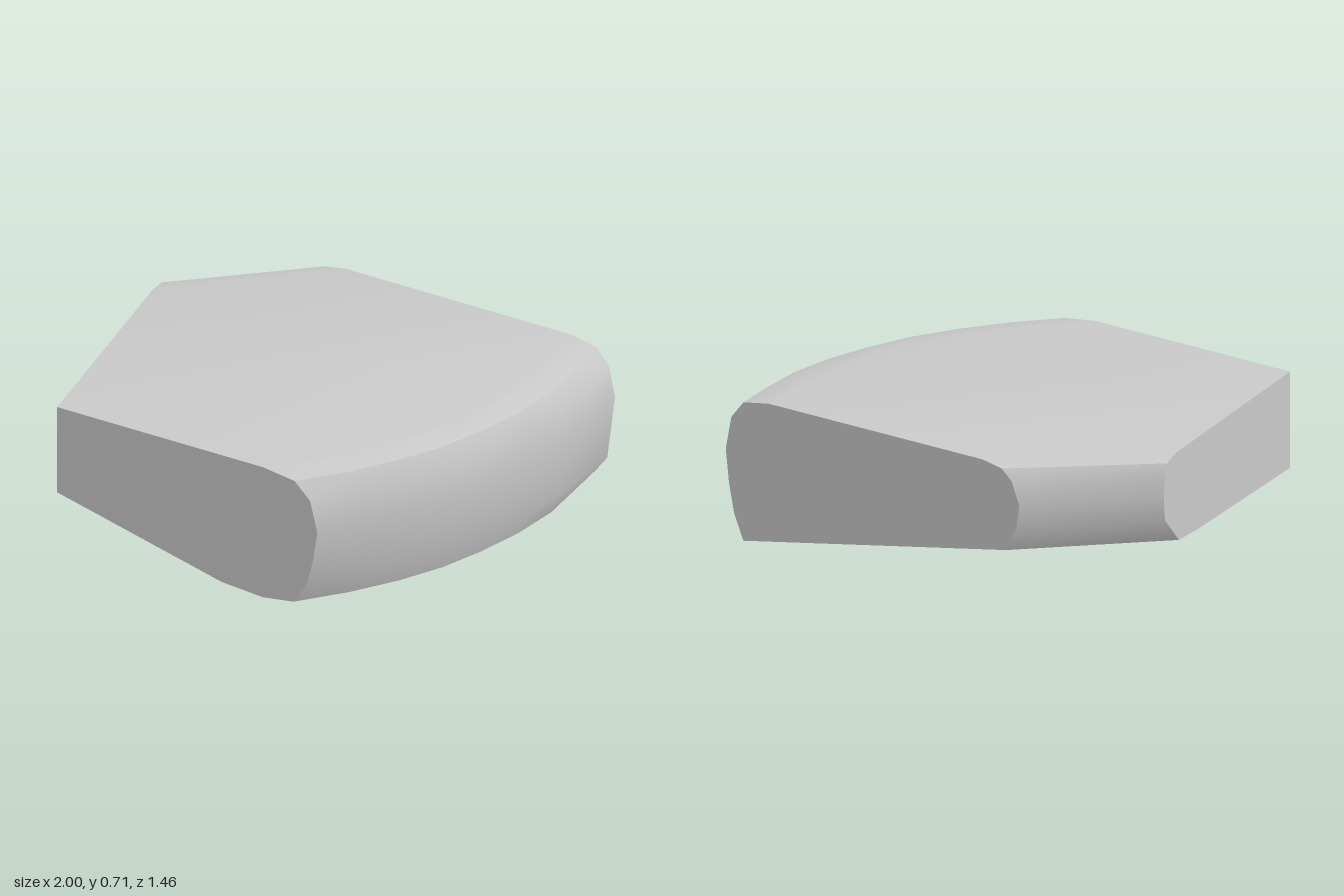
import * as THREE from 'three';
import { ConvexGeometry } from 'three/addons/geometries/ConvexGeometry.js';
import { toCreasedNormals } from 'three/addons/utils/BufferGeometryUtils.js';

const TOP = 0.71, FRONT = 0.73, BACK = -0.73, SIDE = -1;

export function createModel() {
  const group = new THREE.Group();
  group.name = 'stoneBlock';
  const stone = new THREE.MeshStandardMaterial({ color: 0xc9c9c9 });
  stone.name = 'grey stone';

  const points = [];
  const add = (x, y, z) => points.push(new THREE.Vector3(x, y, z));

  // Rounded outer side: a bulging profile [inset, height] swept along a curve
  // [z, x, spread], where spread widens the bevels towards the ends
  const curve = [[BACK, 1, 0.82], [-0.55, 0.983, 0.74], [-0.35, 0.947, 0.62],
    [-0.15, 0.885, 0.62], [0.04, 0.8, 0.64], [0.22, 0.7, 0.66],
    [0.39, 0.575, 0.7], [0.56, 0.43, 0.8], [FRONT, 0.265, 1]];
  const profile = [[0.265, TOP], [0.11, 0.685], [0.035, 0.6], [0, 0.44],
    [0.02, 0.28], [0.055, 0.13], [0.115, 0.025], [0.265, 0]];
  for (const [z, x, spread] of curve) {
    for (const [inset, y] of profile) {
      if (z === BACK && y === 0) continue; // the underside rises at the back
      add(x - inset * spread, y, z);
    }
  }

  // Small chip facet low on the outer back corner
  add(0.98, 0.125, -0.695);
  add(0.91, 0.015, BACK);

  // Flat side and sloping underside at the front
  add(SIDE, TOP, FRONT);
  add(SIDE, 0.245, FRONT);
  add(-0.2, 0.018, FRONT);
  add(SIDE, 0.265, -0.05);

  // Slanted back corner, rounded from top to underside: [height, z on side, x on back]
  const corner = [[TOP, -0.23, -0.31], [0.69, -0.312, -0.41], [0.64, -0.327, -0.46],
    [0.53, -0.337, -0.5], [0.42, -0.327, -0.485]];
  for (const [y, z, x] of corner) {
    add(SIDE, y, z);
    add(x, y, BACK);
  }
  add(SIDE, 0.278, -0.21);
  add(-0.43, 0.3, BACK);

  const block = new THREE.Mesh(toCreasedNormals(new ConvexGeometry(points), 0.56), stone);
  block.name = 'block';
  group.add(block);
  return group;
}
